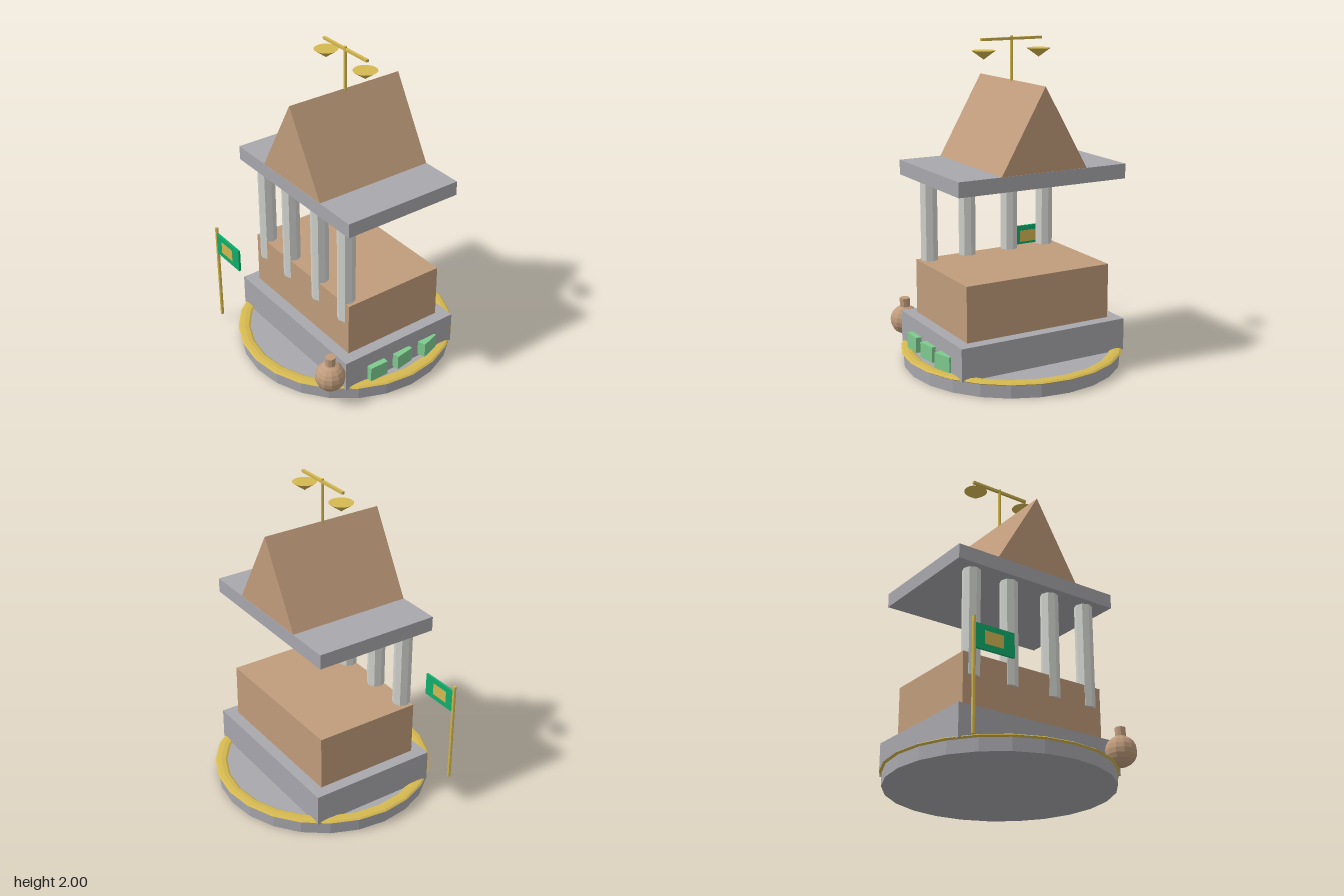
import * as THREE from 'three';

const mat = (name, color) => {
  const m = new THREE.MeshStandardMaterial({ color, flatShading: true });
  m.name = name;
  return m;
};

export function createModel() {
  const stone = mat('grey stone', 0xa8a7ad);
  const clay = mat('tan clay', 0xc09c7c);
  const marble = mat('pale marble', 0xd2d4ce);
  const gold = mat('gold', 0xd4b850);
  const green = mat('flag green', 0x0fae6b);
  const jade = mat('light green', 0x7fca8f);

  const model = new THREE.Group();
  model.name = 'temple';
  const add = (name, geometry, material, x, y, z, parent = model) => {
    const mesh = new THREE.Mesh(geometry, material);
    mesh.name = name;
    mesh.position.set(x, y, z);
    parent.add(mesh);
    return mesh;
  };
  const group = (name) => {
    const g = new THREE.Group();
    g.name = name;
    model.add(g);
    return g;
  };
  const box = (w, h, d) => new THREE.BoxGeometry(w, h, d);
  const cyl = (r, h, n) => new THREE.CylinderGeometry(r, r, h, n);

  // Round base with a flattened gold rim
  add('base', cyl(0.675, 0.08, 24), stone, 0, 0.04, 0);
  const rim = new THREE.TorusGeometry(0.652, 0.038, 8, 24);
  rim.rotateX(Math.PI / 2).scale(1, 0.28, 1);
  add('baseRim', rim, gold, 0, 0.086, 0);

  // Plinth, inner hall and roof slab
  add('plinth', box(1.12, 0.2, 0.82), stone, 0, 0.18, 0);
  add('hall', box(0.974, 0.34, 0.674), clay, 0, 0.45, 0);
  add('roofSlab', box(1.12, 0.09, 0.784), stone, 0, 1.2, 0);

  // Front row of columns, half sunk into the hall
  const columns = group('columns');
  for (const x of [-0.413, -0.15, 0.15, 0.413]) {
    add('column', cyl(0.055, 0.665, 8), marble, x, 0.8225, 0.3, columns);
  }

  // Gabled roof
  const gable = new THREE.Shape([
    new THREE.Vector2(-0.285, 0),
    new THREE.Vector2(0.285, 0),
    new THREE.Vector2(0, 0.495),
  ]);
  const roof = new THREE.ExtrudeGeometry(gable, { depth: 0.78, bevelEnabled: false });
  add('roof', roof, clay, 0, 1.245, -0.39);

  // Balance scales on the ridge
  const scales = group('scales');
  add('scalePost', cyl(0.01, 0.28, 8), gold, 0, 1.86, 0, scales);
  add('scaleBeam', box(0.41, 0.016, 0.018), gold, 0, 1.983, 0, scales);
  for (const side of [-1, 1]) {
    const pan = new THREE.ConeGeometry(0.073, 0.053, 16).rotateX(Math.PI);
    add('scalePan', pan, gold, side * 0.187, 1.894, 0, scales);
  }

  // Flag with a plain panel on both faces
  const flag = group('flag');
  add('flagPole', cyl(0.011, 0.668, 8), gold, -0.58, 0.379, 0.578, flag);
  add('flagCloth', box(0.256, 0.146, 0.014), green, -0.446, 0.602, 0.578, flag);
  for (const side of [-1, 1]) {
    add('flagPanel', box(0.122, 0.077, 0.003), gold, -0.453, 0.602, 0.578 + side * 0.0075, flag);
  }

  // Round jar with a short neck
  const jar = group('jar');
  add('jarBody', new THREE.SphereGeometry(0.093, 12, 10), clay, 0.504, 0.193, 0.485, jar);
  add('jarNeck', cyl(0.032, 0.06, 10), clay, 0.504, 0.305, 0.485, jar);

  // Tablets fanned along the left side
  const tablets = group('tablets');
  [0.188, -0.008, -0.208].forEach((z, i) => {
    const tablet = add('tablet', box(0.06, 0.095, 0.125), jade, 0.567 - i * 0.002, 0.1425, z, tablets);
    tablet.rotation.y = i * 0.15;
  });

  return model;
}
